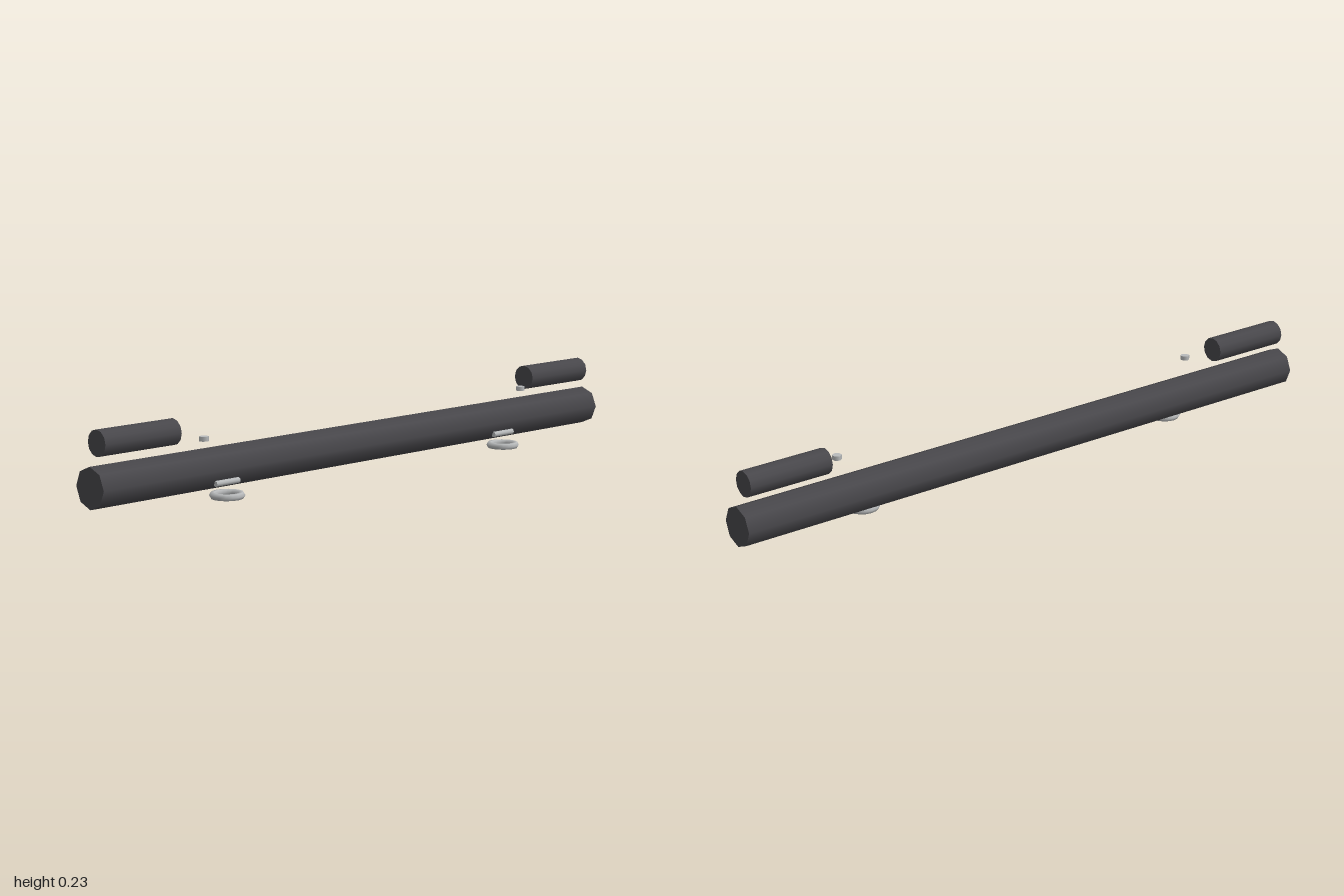
import * as THREE from 'three';

export function createModel() {
  const model = new THREE.Group();
  const darkGrip = new THREE.MeshStandardMaterial({ color: 0x48474b });
  darkGrip.name = 'darkGrip';
  const steel = new THREE.MeshStandardMaterial({ color: 0xb8babb });
  steel.name = 'steel';

  function add(name, geometry, material, x, y, z) {
    const mesh = new THREE.Mesh(geometry, material);
    mesh.name = name;
    mesh.position.set(x, y, z);
    model.add(mesh);
  }

  // Cylinder lying along x
  const rod = (radius, length, sides) =>
    new THREE.CylinderGeometry(radius, radius, length, sides).rotateZ(Math.PI / 2);

  // Long octagonal bar
  add('mainBar', rod(0.058, 2, 8), darkGrip, 0, 0.08, -0.019);

  // Mirrored fittings at each end
  for (const [side, s] of [['left', 1], ['right', -1]]) {
    add(side + 'Grip', rod(0.037, 0.26, 12), darkGrip, s * 0.845, 0.197, -0.019);
    add(side + 'Stud', new THREE.CylinderGeometry(0.014, 0.014, 0.013, 6), steel, s * 0.645, 0.175, 0.028);
    add(side + 'RingPin', rod(0.0085, 0.085, 8), steel, s * 0.565, 0.045, 0.029);
    add(side + 'Ring', new THREE.TorusGeometry(0.04, 0.01, 6, 16).rotateX(Math.PI / 2), steel, s * 0.565, 0.0087, 0.029);
  }
  return model;
}
